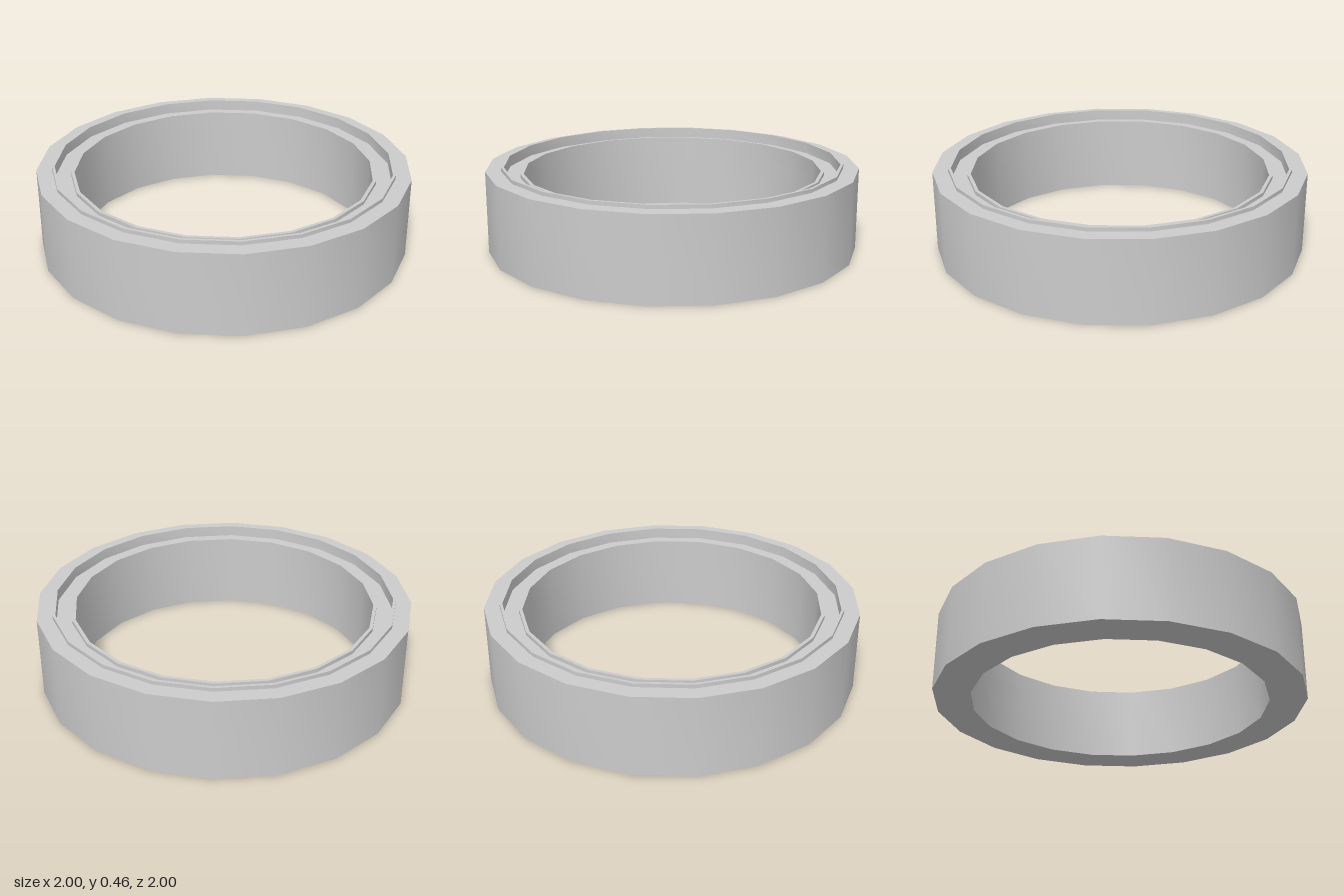
import * as THREE from 'three';
import { toCreasedNormals } from 'three/addons/utils/BufferGeometryUtils.js';

const SIDES = 20;

export function createModel() {
  const group = new THREE.Group();
  group.name = 'ring';
  const material = new THREE.MeshStandardMaterial({ color: 0xcccccc });

  // Closed cross-section: outer wall, raised lip, shallow channel, inner rim
  const profile = [
    [0.8, 0], [1, 0], [1, 0.44],
    [0.917, 0.44], [0.917, 0.46], [0.902, 0.46],
    [0.902, 0.4], [0.818, 0.4], [0.818, 0.42], [0.8, 0.42], [0.8, 0],
  ].map(([r, y]) => new THREE.Vector2(r, y));
  const body = new THREE.Mesh(
    toCreasedNormals(new THREE.LatheGeometry(profile, SIDES), 0.5),
    material
  );
  body.name = 'ringBody';
  group.add(body);

  // Thin plate on the inside of the back wall, two facets wide
  const step = (Math.PI * 2) / SIDES;
  const plateMaterial = material.clone();
  plateMaterial.side = THREE.DoubleSide;
  const plate = new THREE.Mesh(
    new THREE.CylinderGeometry(0.798, 0.798, 0.165, 2, 1, true, Math.PI - step, step * 2),
    plateMaterial
  );
  plate.position.y = 0.243;
  plate.name = 'innerPlate';
  group.add(plate);

  return group;
}
